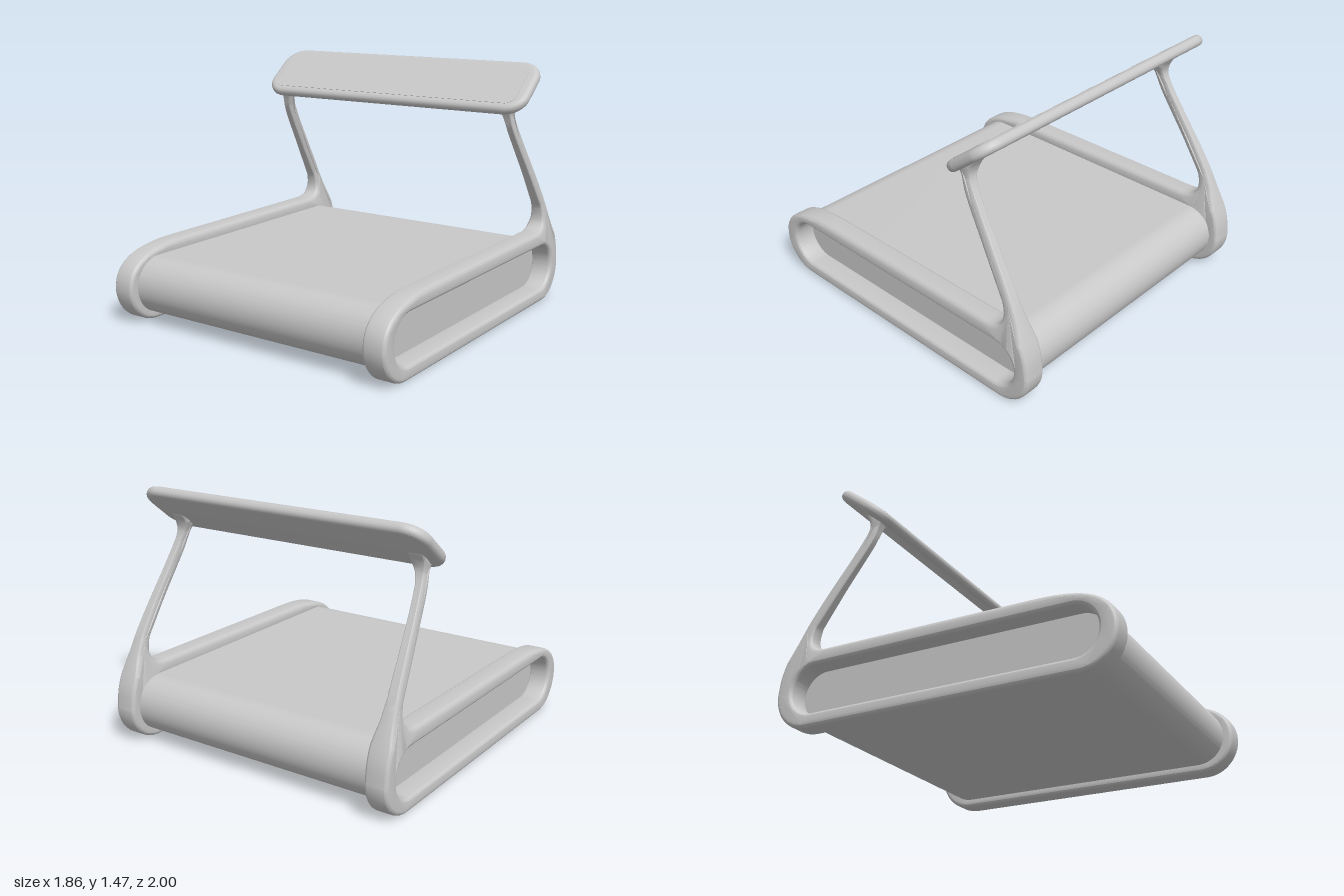
import * as THREE from 'three';
import { toCreasedNormals } from 'three/addons/utils/BufferGeometryUtils.js';

const V = (x, y) => new THREE.Vector2(x, y);

// Extrusion centred on z = 0 whose rounded edges stay inside the outline
function roundedExtrude(shape, thickness, bevel, curveSegments = 14) {
  const geo = new THREE.ExtrudeGeometry(shape, {
    depth: thickness - 2 * bevel, curveSegments,
    bevelEnabled: bevel > 0, bevelThickness: bevel, bevelSize: bevel,
    bevelOffset: -bevel, bevelSegments: 4,
  });
  return geo.translate(0, 0, bevel - thickness / 2);
}

// Rounded rectangle outline; a stadium when r is half the height
function roundedRect(target, cx, cy, w, h, r) {
  const x = w / 2 - r, y = h / 2 - r;
  target.absarc(cx + x, cy - y, r, -Math.PI / 2, 0);
  target.absarc(cx + x, cy + y, r, 0, Math.PI / 2);
  target.absarc(cx - x, cy + y, r, Math.PI / 2, Math.PI);
  target.absarc(cx - x, cy - y, r, Math.PI, Math.PI * 1.5);
  target.closePath();
  return target;
}

// Side frame outline: base loop flowing into the leaning post (x = depth, y = height)
function frameShape() {
  const s = new THREE.Shape();
  s.moveTo(-0.8, 0);
  s.lineTo(0.8, 0);
  s.bezierCurveTo(0.92, 0.005, 1, 0.11, 1, 0.21);
  s.bezierCurveTo(1, 0.35, 0.87, 0.44, 0.55, 0.44);
  s.lineTo(-0.7, 0.445);
  s.bezierCurveTo(-0.79, 0.445, -0.835, 0.49, -0.795, 0.6);
  s.splineThru([V(-0.74, 0.69), V(-0.635, 0.86), V(-0.54, 1.01), V(-0.49, 1.1),
    V(-0.466, 1.17), V(-0.45, 1.21), V(-0.435, 1.235)]);
  s.lineTo(-0.58, 1.34);
  s.splineThru([V(-0.557, 1.285), V(-0.53, 1.235), V(-0.525, 1.18), V(-0.555, 1.11),
    V(-0.63, 0.985), V(-0.716, 0.85), V(-0.8, 0.715), V(-0.87, 0.59),
    V(-0.945, 0.43), V(-0.985, 0.32), V(-1, 0.21)]);
  s.bezierCurveTo(-1, 0.1, -0.92, 0.005, -0.8, 0);
  s.holes.push(roundedRect(new THREE.Path(), 0, 0.2175, 1.8, 0.275, 0.137));
  return s;
}

// Inner and outer edges of the frame across its width: [height, inner, outer]
const WIDTHS = [
  [0, 0.787, 0.927], [0.40, 0.787, 0.927], [0.46, 0.8, 0.915], [0.52, 0.814, 0.905],
  [0.62, 0.822, 0.895], [0.8, 0.815, 0.876], [1.0, 0.8, 0.853], [1.12, 0.788, 0.84],
  [1.18, 0.772, 0.836], [1.24, 0.745, 0.845], [1.4, 0.74, 0.85],
];
function widthAt(y) {
  let i = 0;
  while (i < WIDTHS.length - 2 && y > WIDTHS[i + 1][0]) i++;
  const [a, b] = [WIDTHS[i], WIDTHS[i + 1]];
  const t = THREE.MathUtils.clamp((y - a[0]) / (b[0] - a[0]), 0, 1);
  return [a[1] + (b[1] - a[1]) * t, a[2] + (b[2] - a[2]) * t];
}

function frameGeometry(side) {
  const geo = roundedExtrude(frameShape(), 0.14, 0.026);
  geo.rotateY(-Math.PI / 2);
  // Narrow the post and lean it inwards as it rises
  const p = geo.attributes.position;
  for (let i = 0; i < p.count; i++) {
    const [a, b] = widthAt(p.getY(i));
    p.setX(i, side * (a + b) / 2 + (p.getX(i) / 0.07) * (b - a) / 2);
  }
  return toCreasedNormals(geo, 0.35);
}

export function createModel() {
  const model = new THREE.Group();
  const grey = new THREE.MeshStandardMaterial({ color: 0xc8c8c8 });
  grey.name = 'light grey';
  const add = (name, geo, parent = model) => {
    const mesh = new THREE.Mesh(geo, grey);
    mesh.name = name;
    parent.add(mesh);
    return mesh;
  };

  // Seat body between the frames; its flat ends close the frame openings
  const seat = roundedExtrude(roundedRect(new THREE.Shape(), 0, 0.2125, 1.89, 0.335, 0.167), 1.6, 0);
  add('seat', toCreasedNormals(seat.rotateY(-Math.PI / 2), 0.35));

  // Side frames with posts
  add('leftFrame', frameGeometry(1));
  add('rightFrame', frameGeometry(-1));

  // Tilted backrest with a thin front pad
  const backrest = new THREE.Group();
  backrest.name = 'backrest';
  backrest.position.set(0, 1.33, -0.56);
  backrest.rotation.x = -Math.atan2(0.265, 0.21);
  model.add(backrest);
  add('backrestPlate', toCreasedNormals(
    roundedExtrude(roundedRect(new THREE.Shape(), 0, 0, 1.855, 0.405, 0.13), 0.064, 0.03), 0.42), backrest);
  const pad = add('backrestPad',
    roundedExtrude(roundedRect(new THREE.Shape(), 0, 0, 1.73, 0.315, 0.06), 0.004, 0), backrest);
  pad.position.z = 0.032;

  return model;
}
